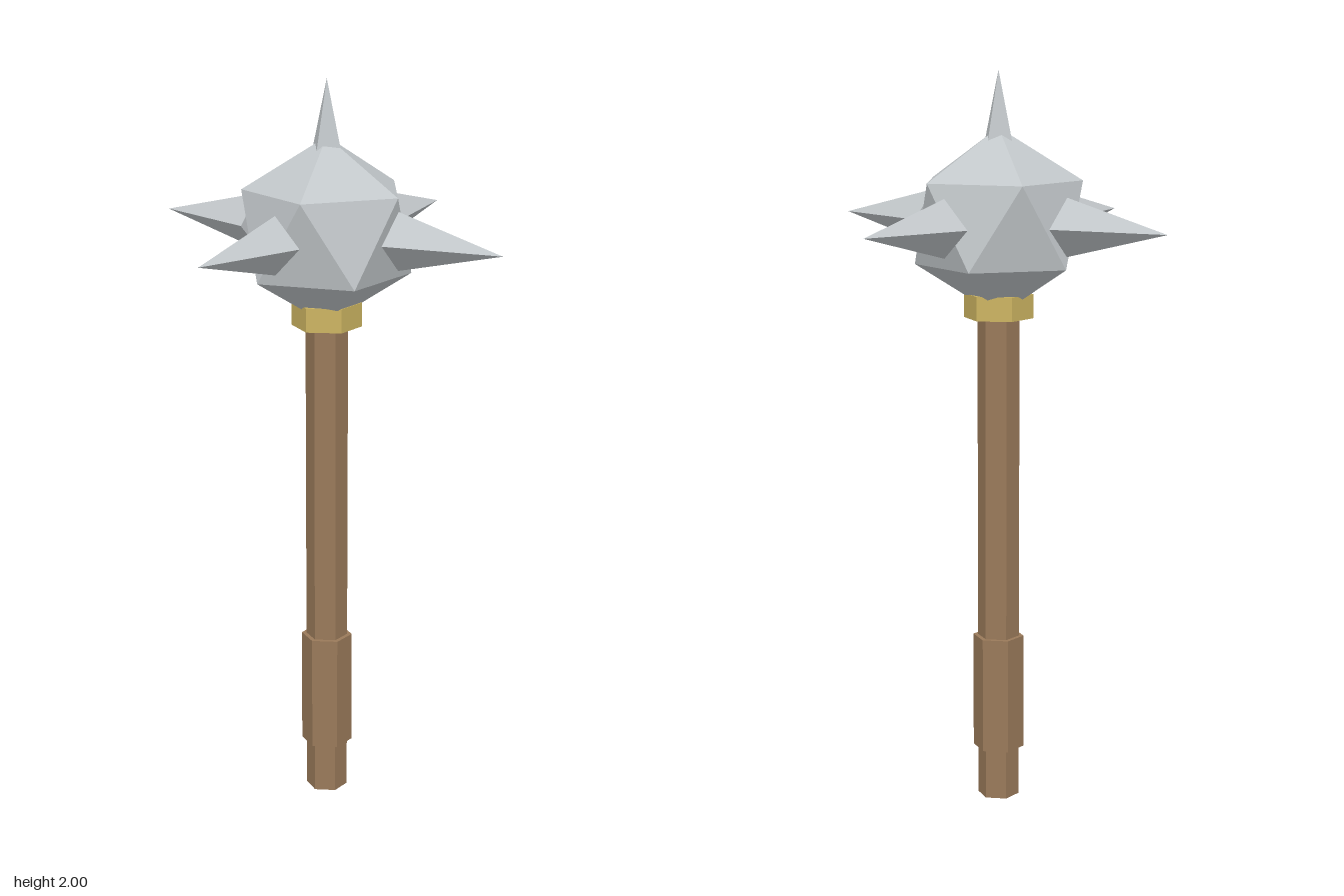
import * as THREE from 'three';

const mat = (name, color) => {
  const m = new THREE.MeshStandardMaterial({ color, flatShading: true });
  m.name = name;
  return m;
};

export function createModel() {
  const group = new THREE.Group();
  const wood = mat('wood', 0x9a7a5a);
  const brass = mat('brass', 0xcdb562);
  const steel = mat('steel', 0xc2c7ca);

  const add = (name, geometry, material) => {
    const mesh = new THREE.Mesh(geometry, material);
    mesh.name = name;
    group.add(mesh);
    return mesh;
  };

  // Hexagonal rod between two heights
  const hexRod = (name, radius, y0, y1, material) => {
    add(name, new THREE.CylinderGeometry(radius, radius, y1 - y0, 6), material)
      .position.y = (y0 + y1) / 2;
  };
  hexRod('shaft', 0.057, 0, 1.4, wood);
  hexRod('grip', 0.07, 0.14, 0.46, wood);
  hexRod('collar', 0.094, 1.345, 1.41, brass);

  // Faceted head, turned so that one corner points straight up
  const headY = 1.6;
  const ball = new THREE.IcosahedronGeometry(0.25, 0);
  ball.rotateZ(-Math.atan(2 / (1 + Math.sqrt(5))));
  add('head', ball, steel).position.y = headY;

  // Four-sided spikes; the top one is sunk deeper into the head
  const spikeLength = 0.312;
  const spike = (name, direction, base) => {
    const mesh = add(name, new THREE.ConeGeometry(0.077, spikeLength, 4), steel);
    const axis = new THREE.Vector3(...direction);
    mesh.quaternion.setFromUnitVectors(new THREE.Vector3(0, 1, 0), axis);
    mesh.position.copy(axis).multiplyScalar(base + spikeLength / 2);
    mesh.position.y += headY;
  };
  spike('topSpike', [0, 1, 0], 0.4 - spikeLength);
  spike('leftSpike', [1, 0, 0], 0.226);
  spike('rightSpike', [-1, 0, 0], 0.226);
  spike('frontSpike', [0, 0, 1], 0.226);
  spike('backSpike', [0, 0, -1], 0.226);

  return group;
}
